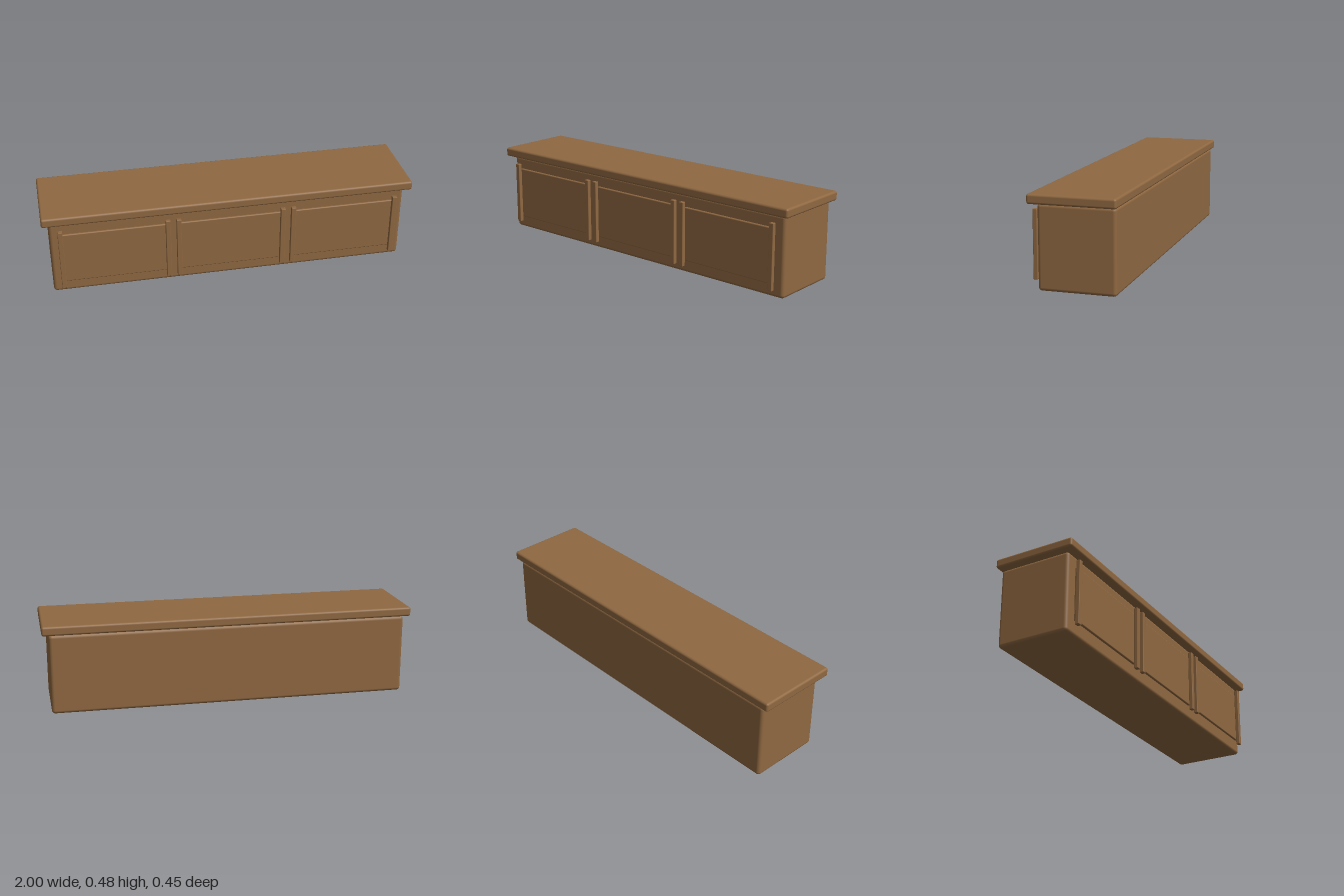
import * as THREE from 'three';
import { RoundedBoxGeometry } from 'three/addons/geometries/RoundedBoxGeometry.js';

export function createModel() {
  const group = new THREE.Group();
  const wood = new THREE.MeshStandardMaterial({ color: 0x8f6841 });
  wood.name = 'brownWood';

  // Rounded block given by its centre x and its y and z extents
  function block(name, x, width, [y0, y1], [z0, z1], radius) {
    const geometry = new RoundedBoxGeometry(width, y1 - y0, z1 - z0, 3, radius);
    const mesh = new THREE.Mesh(geometry, wood);
    mesh.name = name;
    mesh.position.set(x, (y0 + y1) / 2, (z0 + z1) / 2);
    group.add(mesh);
  }

  // Cabinet and overhanging top
  block('cabinetBody', 0, 1.928, [0, 0.43], [-0.213, 0.184], 0.018);
  block('counterTop', 0, 2, [0.43, 0.48], [-0.224, 0.224], 0.012);

  // Three front panels, each with an upright strip at both ends
  for (const x of [-0.624, 0, 0.624]) {
    block('frontPanel', x, 0.566, [0.071, 0.363], [0.187, 0.202], 0.006);
    for (const side of [-1, 1]) {
      block('uprightStrip', x + side * 0.283, 0.026, [0.043, 0.393], [0.202, 0.224], 0.003);
    }
  }
  return group;
}
